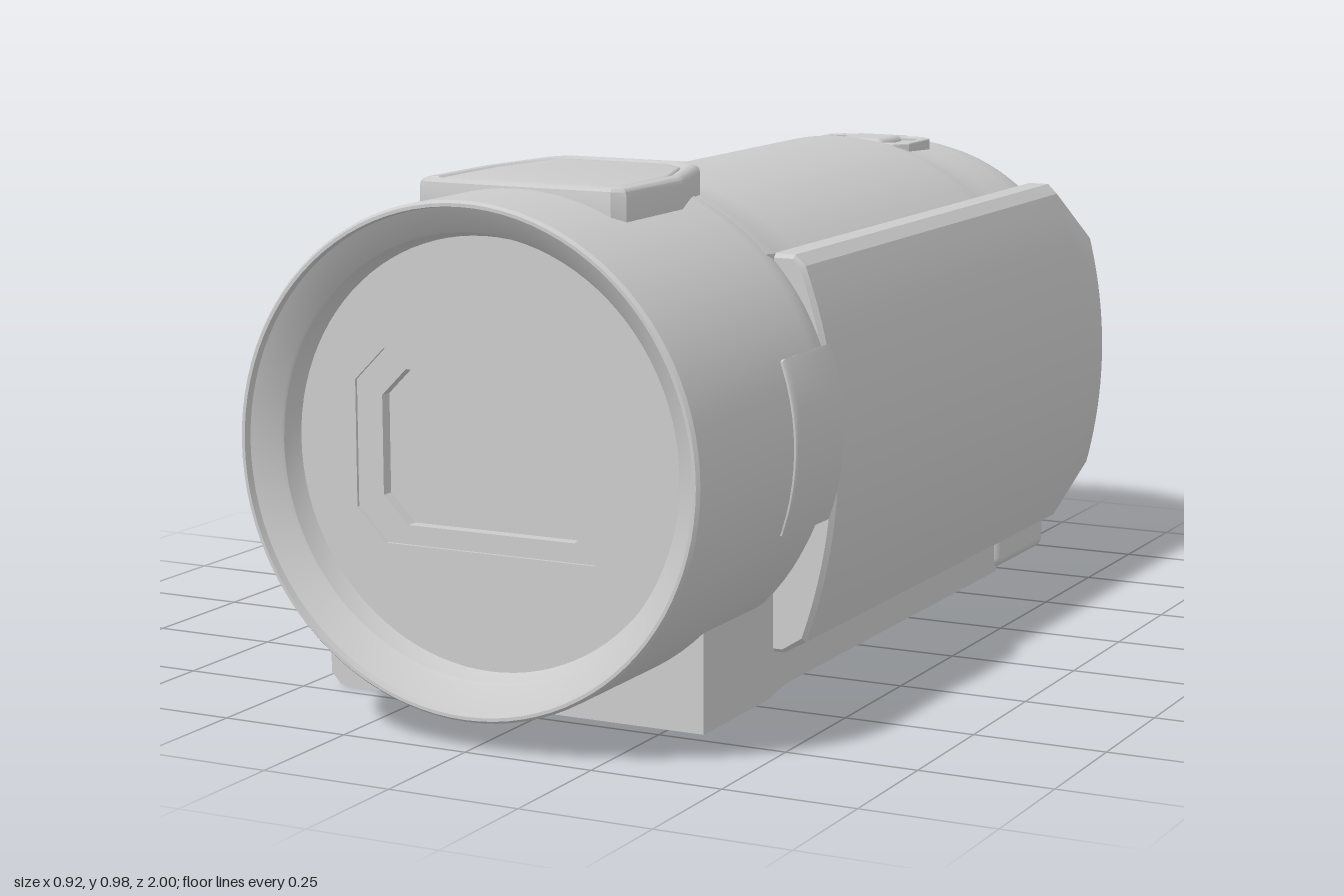
import * as THREE from 'three';
import { toCreasedNormals } from 'three/addons/utils/BufferGeometryUtils.js';
import { RoundedBoxGeometry } from 'three/addons/geometries/RoundedBoxGeometry.js';

const CY = 0.51; // height of the lens axis
const grey = new THREE.MeshStandardMaterial({ color: 0xcccccc });

// Skin a list of { z, pts } sections (counter-clockwise, rising z) and cap both ends
function loft(sections, crease = 0.5) {
  const pos = [], idx = [], n = sections[0].pts.length;
  for (const s of sections) for (const p of s.pts) pos.push(p[0], p[1], s.z);
  for (let i = 0; i < sections.length - 1; i++) {
    for (let j = 0; j < n; j++) {
      const a = i * n + j, b = i * n + (j + 1) % n;
      idx.push(a, b, b + n, a, b + n, a + n);
    }
  }
  const cap = (s, base, flip) => {
    const tris = THREE.ShapeUtils.triangulateShape(s.pts.map(p => new THREE.Vector2(p[0], p[1])), []);
    for (const [a, b, c] of tris) idx.push(base + a, base + (flip ? c : b), base + (flip ? b : c));
  };
  cap(sections[0], 0, true);
  cap(sections[sections.length - 1], (sections.length - 1) * n, false);
  const g = new THREE.BufferGeometry();
  g.setAttribute('position', new THREE.Float32BufferAttribute(pos, 3));
  g.setIndex(idx);
  return toCreasedNormals(g, crease);
}

// Arched housing section: flat on +x, round on top, straight on -x
function archSection([z, rx, ry, xr], pocket) {
  const pts = pocket ? [[-0.205, 0], [-0.205, 0.62], [xr, 0.62]] : [[xr, 0]];
  const start = Math.acos(xr / rx), steps = 40;
  for (let i = 0; i <= steps; i++) {
    const a = start + (Math.PI - start) * i / steps;
    pts.push([rx * Math.cos(a), CY + ry * Math.sin(a)]);
  }
  pts.push([-rx, 0.025], [-rx + 0.02, 0.003], [-rx + 0.035, 0]);
  return { z, pts };
}

const toShape = pts => new THREE.Shape(pts.map(p => new THREE.Vector2(p[0], p[1])));

// Rectangle with cut corners
function octagon(w, h, c, cy = 0) {
  return [[-w + c, -h], [w - c, -h], [w, -h + c], [w, h - c], [w - c, h], [-w + c, h], [-w, h - c], [-w, -h + c]]
    .map(([x, y]) => [x, y + cy]);
}

function extrude(pts, hole, depth, bevel = 0) {
  const s = toShape(pts);
  if (hole) s.holes.push(toShape(hole));
  return new THREE.ExtrudeGeometry(s, {
    depth, bevelEnabled: bevel > 0, bevelSize: bevel, bevelThickness: bevel, bevelOffset: -bevel, bevelSegments: 3
  });
}

// Outline in plan (x, -z) raised upward from y
const slab = (pts, hole, y, h, bevel) => extrude(pts, hole, h, bevel).rotateX(-Math.PI / 2).translate(0, y, 0);

export function createModel() {
  const model = new THREE.Group();
  const add = (name, geo, x = 0, y = 0, z = 0) => {
    const m = new THREE.Mesh(geo, grey);
    m.name = name;
    m.position.set(x, y, z);
    model.add(m);
    return m;
  };

  // Housing: [z, half width, half height of arch, flat side x]
  const rear = [
    [-0.98, 0.365, 0.352, 0.3], [-0.965, 0.38, 0.368, 0.3], [-0.93, 0.402, 0.385, 0.3],
    [-0.88, 0.42, 0.395, 0.3], [-0.82, 0.43, 0.4, 0.3], [-0.72, 0.432, 0.404, 0.3]
  ];
  const main = [
    rear[5], [-0.64, 0.432, 0.408, 0.3], [-0.6, 0.432, 0.42, 0.3], [-0.54, 0.432, 0.43, 0.3],
    [0.3, 0.432, 0.43, 0.3], [0.36, 0.436, 0.434, 0.305], [0.41, 0.447, 0.443, 0.315],
    [0.46, 0.457, 0.45, 0.322], [0.5, 0.459, 0.45, 0.322], [0.715, 0.459, 0.45, 0.322]
  ];
  add('rearHousing', loft(rear.map(p => archSection(p, true))));
  add('mainHousing', loft(main.map(p => archSection(p, false))));

  // Battery filling the rear pocket
  add('battery', new RoundedBoxGeometry(0.495, 0.6, 0.28, 4, 0.025), 0.062, 0.304, -0.842);

  // Lens barrel with hollow front
  const profile = [
    [0, 0.38], [0.425, 0.38], [0.435, 0.41], [0.446, 0.44], [0.455, 0.47], [0.457, 0.5], [0.457, 0.993],
    [0.452, 1], [0.446, 1], [0.444, 0.985], [0.4, 0.955], [0.396, 0.95], [0.386, 0.91], [0.38, 0.9]
  ].map(p => new THREE.Vector2(p[0], p[1]));
  const barrel = toCreasedNormals(new THREE.LatheGeometry(profile, 96).rotateX(Math.PI / 2), 0.4);
  add('lensBarrel', barrel, 0, CY, 0);

  // Front plate, stepped window frame and recessed window
  const disc = [];
  for (let i = 0; i < 96; i++) {
    const a = i * Math.PI / 48;
    disc.push([0.388 * Math.cos(a), 0.388 * Math.sin(a)]);
  }
  const outer = octagon(0.27, 0.175, 0.06), inner = octagon(0.218, 0.14, 0.05);
  add('frontPlate', extrude(disc, outer, 0.04), 0, CY, 0.87);
  add('windowFrame', extrude(outer, inner, 0.034), 0, CY, 0.87);
  add('lensWindow', extrude(outer, null, 0.01), 0, CY, 0.87);

  // Fold-out screen: bulging outer face, clipped rear corners
  const screenSection = (z, y0, y1, inset = 0) => {
    const pts = [[0.312, y0], [0.335, y0]], steps = 20;
    for (let i = 0; i <= steps; i++) {
      const y = y0 + 0.025 + (y1 - y0 - 0.045) * i / steps;
      pts.push([0.442 - inset - 0.53 * (y - 0.45) ** 2, y]);
    }
    pts.push([0.355, y1], [0.312, y1]);
    return { z, pts };
  };
  add('screen', loft([
    screenSection(-0.98, 0.195, 0.705, 0.012), screenSection(-0.965, 0.182, 0.718),
    screenSection(-0.85, 0.082, 0.825), screenSection(0.41, 0.082, 0.825),
    screenSection(0.42, 0.09, 0.818, 0.008)
  ], 0.35));
  add('screenHinge', new THREE.BoxGeometry(0.06, 0.6, 1.2), 0.3, 0.46, -0.2);

  // Curved button on the barrel's side
  const sector = new THREE.Shape();
  sector.absarc(0, 0, 0.464, -0.355, 0.355, false);
  sector.absarc(0, 0, 0.42, 0.355, -0.355, true);
  const button = new THREE.ExtrudeGeometry(sector, {
    depth: 0.18, bevelSize: 0.008, bevelThickness: 0.012, bevelOffset: -0.008, bevelSegments: 3, curveSegments: 24
  });
  add('sideButton', toCreasedNormals(button, 0.5), 0, CY, 0.438);

  // Accessory cover on top of the barrel, bent to follow it
  const bend = g => {
    const p = g.attributes.position;
    for (let i = 0; i < p.count; i++) p.setY(i, p.getY(i) - 0.2 * p.getX(i) ** 2);
    g.computeVertexNormals();
    return toCreasedNormals(g, 0.5);
  };
  const coverOutline = (w, front, back, neck) => [
    [-w + 0.02, -front], [w - 0.02, -front], [w, -front + 0.02], [w, -0.57], [w - 0.015, -0.52],
    [neck + 0.02, -back - 0.025], [neck - 0.01, -back], [-neck + 0.01, -back],
    [-neck - 0.02, -back - 0.025], [-w + 0.015, -0.52], [-w, -0.57], [-w, -front + 0.02]
  ];
  const coverInner = coverOutline(0.178, 0.775, 0.412, 0.115);
  add('coverRim', bend(slab(coverOutline(0.208, 0.803, 0.382, 0.14), coverInner, 0.9, 0.07, 0.014)));
  add('coverPanel', bend(slab(coverInner, null, 0.9, 0.074, 0.006)));

  // Zoom rocker and small round button on the rear top
  const rocker = add('zoomFrame', slab(octagon(0.118, 0.08, 0.025), octagon(0.1, 0.062, 0.02), 0.87, 0.046, 0.004), 0, 0, -0.705);
  rocker.rotation.x = 0;
  add('zoomFloor', slab(octagon(0.105, 0.068, 0.02), null, 0.87, 0.042), 0, 0, -0.705);
  add('zoomLever', new RoundedBoxGeometry(0.11, 0.05, 0.118, 3, 0.015), 0, 0.9, -0.707);
  add('photoButton', new THREE.CylinderGeometry(0.025, 0.025, 0.04, 32), 0, 0.892, -0.85);

  // Latch on the rear edge
  add('rearLatch', new RoundedBoxGeometry(0.1, 0.11, 0.08, 3, 0.012), -0.33, 0.515, -0.96);

  return model;
}
